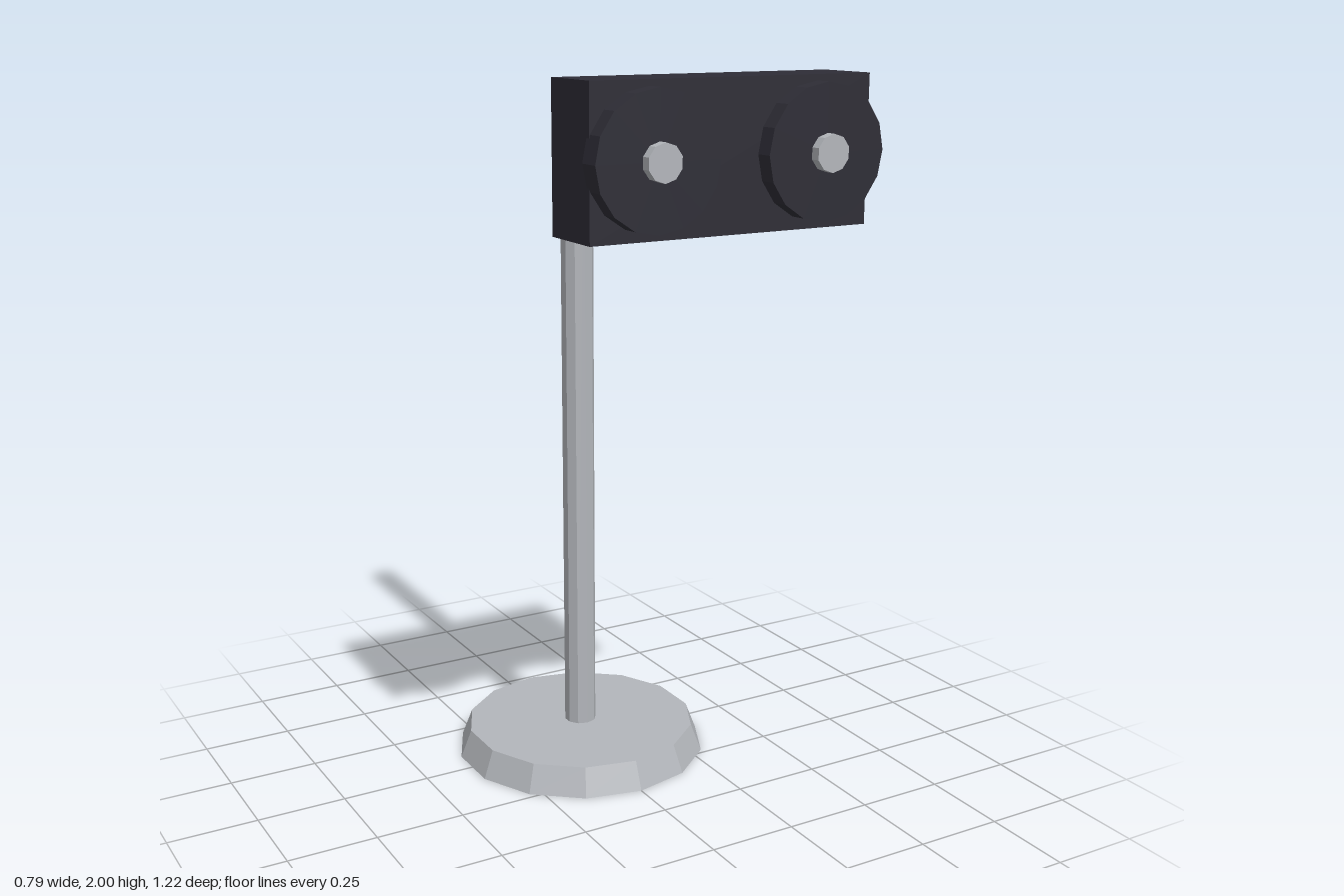
import * as THREE from 'three';

const grey = new THREE.MeshStandardMaterial({ color: 0xb3b6bb, flatShading: true });
grey.name = 'light grey metal';
const dark = new THREE.MeshStandardMaterial({ color: 0x2e2d36, flatShading: true });
dark.name = 'dark housing';

function part(name, geometry, material, x, y, z) {
  const mesh = new THREE.Mesh(geometry, material);
  mesh.name = name;
  mesh.position.set(x, y, z);
  return mesh;
}

// Cylinder whose axis points to the front, with a corner at the top
const disc = (radius, depth, sides) =>
  new THREE.CylinderGeometry(radius, radius, depth, sides).rotateX(-Math.PI / 2);

export function createModel() {
  const model = new THREE.Group();
  model.name = 'twinHeadStand';
  const poleZ = -0.246;

  // Stand: tapered foot, upright pole and forward arm
  model.add(part('base', new THREE.CylinderGeometry(0.335, 0.366, 0.08, 14), grey, 0, 0.04, poleZ));
  model.add(part('pole', new THREE.CylinderGeometry(0.046, 0.046, 1.9, 10), grey, 0, 1.012, poleZ));
  model.add(part('arm', new THREE.BoxGeometry(0.075, 0.075, 0.645), grey, 0, 1.927, 0.0395));

  // Head with two round plates and their centre knobs
  const head = new THREE.Group();
  head.name = 'head';
  head.add(part('housing', new THREE.BoxGeometry(0.77, 0.365, 0.182), dark, 0, 1.8175, 0.448));
  for (const [side, x] of [['left', 0.231], ['right', -0.231]]) {
    head.add(part(side + 'Plate', disc(0.165, 0.06, 16), dark, x, 1.82, 0.556));
    head.add(part(side + 'Knob', disc(0.046, 0.05, 10), grey, x, 1.82, 0.587));
  }
  model.add(head);
  return model;
}
